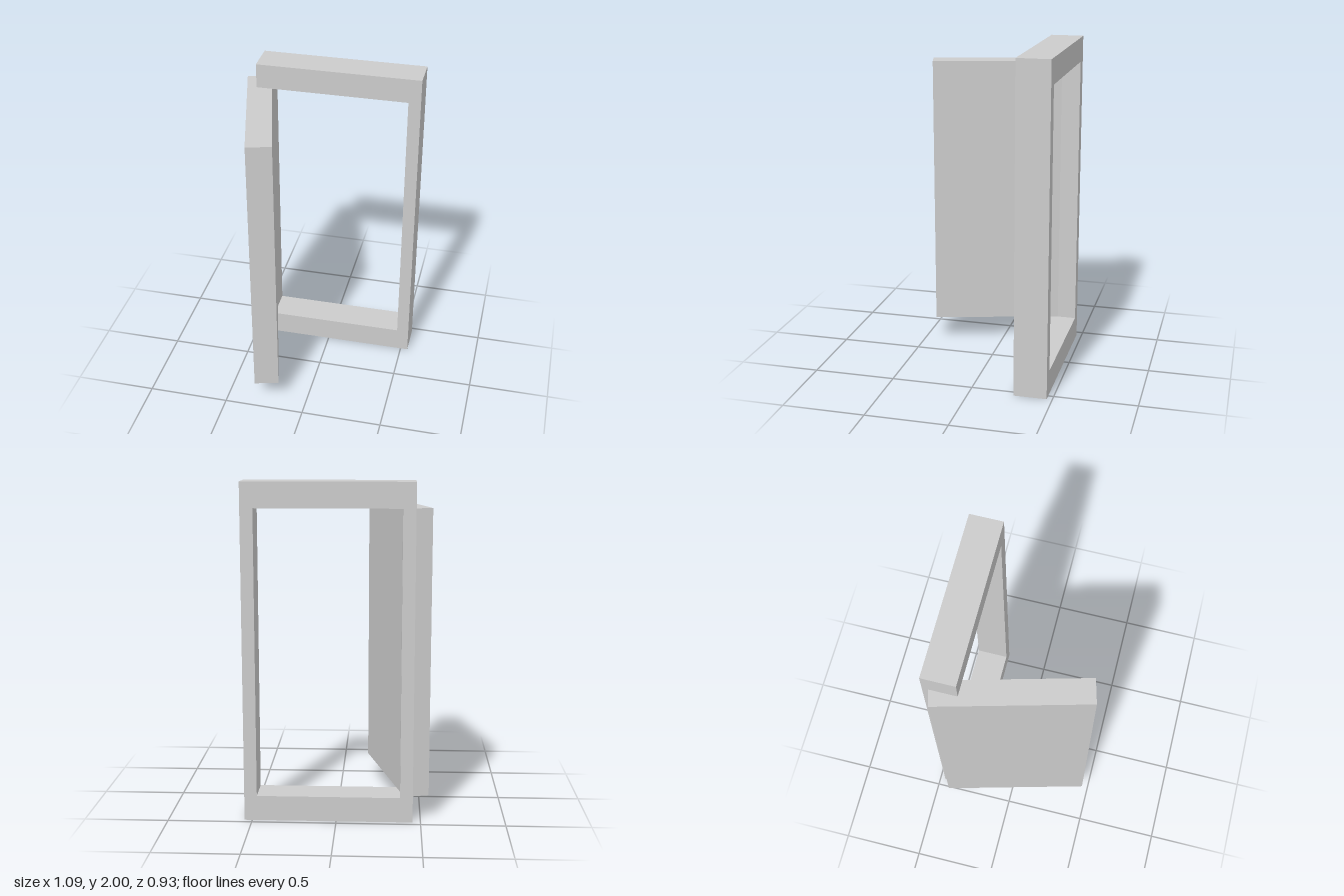
import * as THREE from 'three';

export function createModel() {
  const group = new THREE.Group();
  const material = new THREE.MeshStandardMaterial({ color: 0xcccccc, flatShading: true });

  // Door frame: rectangle with a rectangular opening, extruded in depth
  const left = -0.453, right = 0.546, jamb = 0.075, rail = 0.15;
  const outline = new THREE.Shape([
    new THREE.Vector2(left, 0), new THREE.Vector2(right, 0),
    new THREE.Vector2(right, 2), new THREE.Vector2(left, 2),
  ]);
  outline.holes.push(new THREE.Path([
    new THREE.Vector2(left + jamb, rail), new THREE.Vector2(left + jamb, 2 - rail),
    new THREE.Vector2(right - jamb, 2 - rail), new THREE.Vector2(right - jamb, rail),
  ]));
  const frame = new THREE.Mesh(
    new THREE.ExtrudeGeometry(outline, { depth: 0.2, bevelEnabled: false }), material);
  frame.name = 'doorFrame';
  frame.position.z = -0.467;
  group.add(frame);

  // Door panel swung open towards the front
  const door = new THREE.Mesh(new THREE.BoxGeometry(0.15, 1.7, 0.9), material);
  door.name = 'doorPanel';
  door.position.set(-0.359, 1, 0.01);
  door.rotation.y = THREE.MathUtils.degToRad(15);
  group.add(door);

  return group;
}
